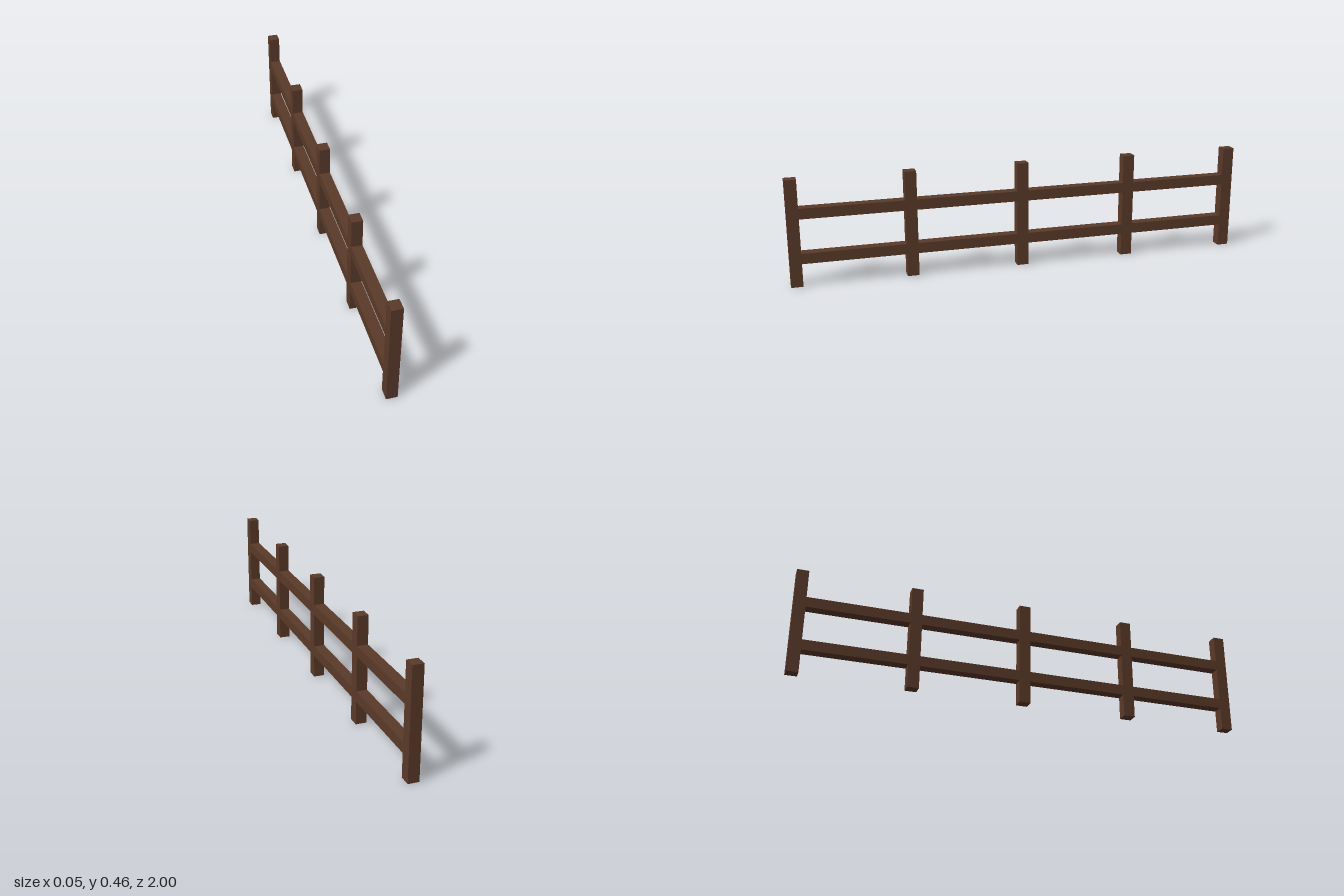
import * as THREE from 'three';

const POST = { width: 0.046, height: 0.46, depth: 0.05 };
const POST_COUNT = 5;
const SPACING = (2 - POST.depth) / (POST_COUNT - 1);
const RAIL_HEIGHT = 0.045;
const RAIL_LEVELS = { lowerRail: 0.122, upperRail: 0.315 };

export function createModel() {
  const fence = new THREE.Group();
  fence.name = 'fence';
  const wood = new THREE.MeshStandardMaterial({ color: 0x5b3a29 });

  const addBeam = (name, geometry, y, z) => {
    const mesh = new THREE.Mesh(geometry, wood);
    mesh.name = name;
    mesh.position.set(0, y, z);
    fence.add(mesh);
  };

  const postGeometry = new THREE.BoxGeometry(POST.width, POST.height, POST.depth);
  // Rails span the gaps and sit flush with the post faces
  const railGeometry = new THREE.BoxGeometry(POST.width, RAIL_HEIGHT, SPACING - POST.depth);

  for (let i = 0; i < POST_COUNT; i++) {
    const z = (i - (POST_COUNT - 1) / 2) * SPACING;
    addBeam(`post${i + 1}`, postGeometry, POST.height / 2, z);

    // Two rails from this post to the next
    if (i < POST_COUNT - 1) {
      for (const [name, y] of Object.entries(RAIL_LEVELS)) {
        addBeam(`${name}${i + 1}`, railGeometry, y, z + SPACING / 2);
      }
    }
  }
  return fence;
}
